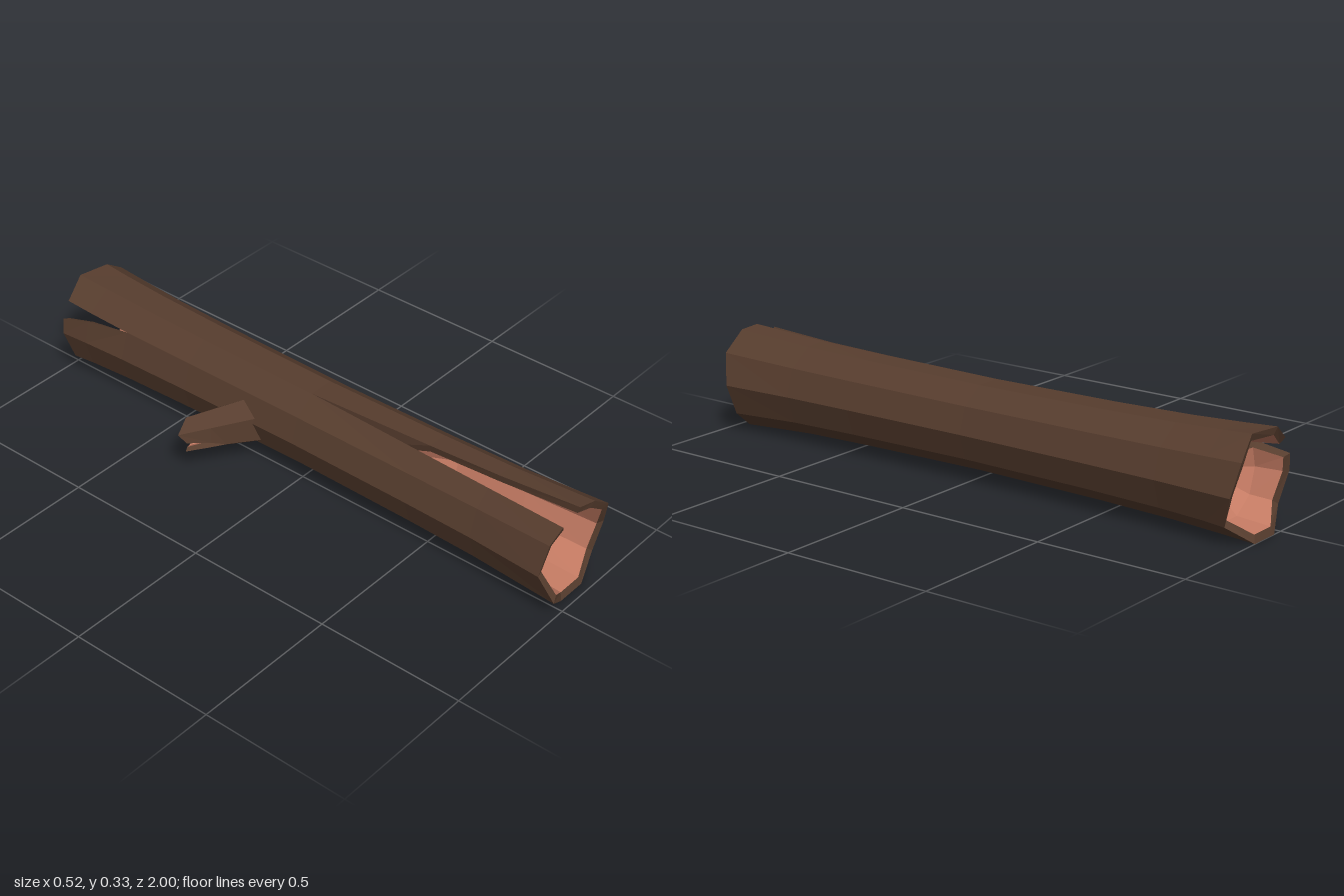
import * as THREE from 'three';

const bark = new THREE.MeshStandardMaterial({ color: 0x573d2e });
bark.name = 'dark bark';
const wood = new THREE.MeshStandardMaterial({ color: 0xc67c64 });
wood.name = 'inner wood';

// Flat-shaded geometry from a list of corner points
function facets(points) {
  const g = new THREE.BufferGeometry().setFromPoints(points);
  g.computeVertexNormals();
  return g;
}

// A hollow, split tube along z: bark outside, rim and split walls, wooden cavity ending in a point.
// rings: { z, r, split (0..1), inner (cavity radius, if hollow here) }; the last ring follows rim[].
function hollowLimb(name, { sides, start = 0, squash = 1, dir = 1, rings, rim, crack, spread, apex }) {
  const step = 360 / sides;
  const last = rings.length - 1;
  const ringPoints = (ring, i, r, recess = 0) => {
    const row = [];
    for (let j = 0; j <= sides; j++) {
      let a = start + (crack + j) * step;
      if (j === 0) a += spread[1] * ring.split;
      if (j === sides) a -= spread[0] * ring.split;
      const t = THREE.MathUtils.degToRad(a);
      const z = i === last ? rim[(crack + j) % sides] - recess : ring.z;
      row.push(new THREE.Vector3(r * squash * Math.cos(t), r * Math.sin(t), z * dir));
    }
    return row;
  };
  const tip = new THREE.Vector3(...apex);
  const outer = rings.map((ring, i) => ringPoints(ring, i, ring.r));
  const first = rings.findIndex((ring) => ring.inner);
  const inner = rings.map((ring, i) => (ring.inner ? ringPoints(ring, i, ring.inner, 0.008) : outer[i].map(() => tip)));

  const barkPoints = [];
  const woodPoints = [];
  const tri = (list, a, b, c) => {
    if (a.equals(b) || b.equals(c) || a.equals(c)) return;
    list.push(...(dir > 0 ? [a, b, c] : [a, c, b]));
  };
  const quad = (list, a, b, c, d) => { tri(list, a, b, c); tri(list, a, c, d); };
  const skin = (list, rowA, rowB) => {
    for (let j = 0; j < sides; j++) quad(list, rowA[j], rowA[j + 1], rowB[j + 1], rowB[j]);
  };

  for (let i = 0; i < last; i++) skin(barkPoints, outer[i], outer[i + 1]);
  skin(barkPoints, outer[last], inner[last]);
  for (let i = last; i >= first; i--) skin(woodPoints, inner[i], inner[i - 1]);
  // the two walls of the split
  for (let i = first - 1; i < last; i++) {
    quad(barkPoints, outer[i][0], outer[i + 1][0], inner[i + 1][0], inner[i][0]);
    quad(barkPoints, inner[i][sides], inner[i + 1][sides], outer[i + 1][sides], outer[i][sides]);
  }

  const group = new THREE.Group();
  group.name = name;
  const shell = new THREE.Mesh(facets(barkPoints), bark);
  shell.name = name + 'Bark';
  const hollow = new THREE.Mesh(facets(woodPoints), wood);
  hollow.name = name + 'Hollow';
  group.add(shell, hollow);
  return group;
}

export function createModel() {
  const model = new THREE.Group();
  model.name = 'hollowLog';

  // front half: deep hollow with a long split along the top
  const front = hollowLimb('frontLog', {
    sides: 10, crack: 3, spread: [15, 14], apex: [-0.053, -0.039, 0],
    rim: [0.955, 0.985, 0.99, 0.98, 0.97, 0.96, 1, 0.97, 0.97, 0.945],
    rings: [
      { z: 0, r: 0.143, split: 0 },
      { z: 0.45, r: 0.148, split: 0.45, inner: 0.122 },
      { z: 0.7, r: 0.154, split: 0.7, inner: 0.13 },
      { z: 1, r: 0.17, split: 1, inner: 0.144 },
    ],
  });

  // back half: shallow hollow with a short split on the side
  const back = hollowLimb('backLog', {
    sides: 10, crack: 4, spread: [3, 18], dir: -1, apex: [-0.03, 0, -0.75],
    rim: [0.985, 1, 0.98, 1, 0.98, 0.975, 0.96, 1, 1, 0.95],
    rings: [
      { z: 0, r: 0.143, split: 0 },
      { z: 0.45, r: 0.148, split: 0 },
      { z: 0.72, r: 0.155, split: 0 },
      { z: 0.88, r: 0.163, split: 0.5, inner: 0.134 },
      { z: 1, r: 0.17, split: 1, inner: 0.144 },
    ],
  });
  for (const half of [front, back]) {
    half.position.set(0.088, 0.164, 0);
    model.add(half);
  }

  // broken side branch
  const branch = hollowLimb('branch', {
    sides: 6, start: -30, squash: 0.75, crack: 0, spread: [16, 28], apex: [0, 0, 0.11],
    rim: [0.25, 0.275, 0.235, 0.225, 0.19, 0.235],
    rings: [
      { z: 0, r: 0.088, split: 0 },
      { z: 0.12, r: 0.075, split: 0 },
      { z: 0.17, r: 0.069, split: 0.5, inner: 0.045 },
      { z: 0.25, r: 0.062, split: 1, inner: 0.047 },
    ],
  });
  branch.position.set(0, 0.14, -0.19);
  branch.rotation.y = Math.atan2(-0.87, -0.49);
  model.add(branch);

  return model;
}
